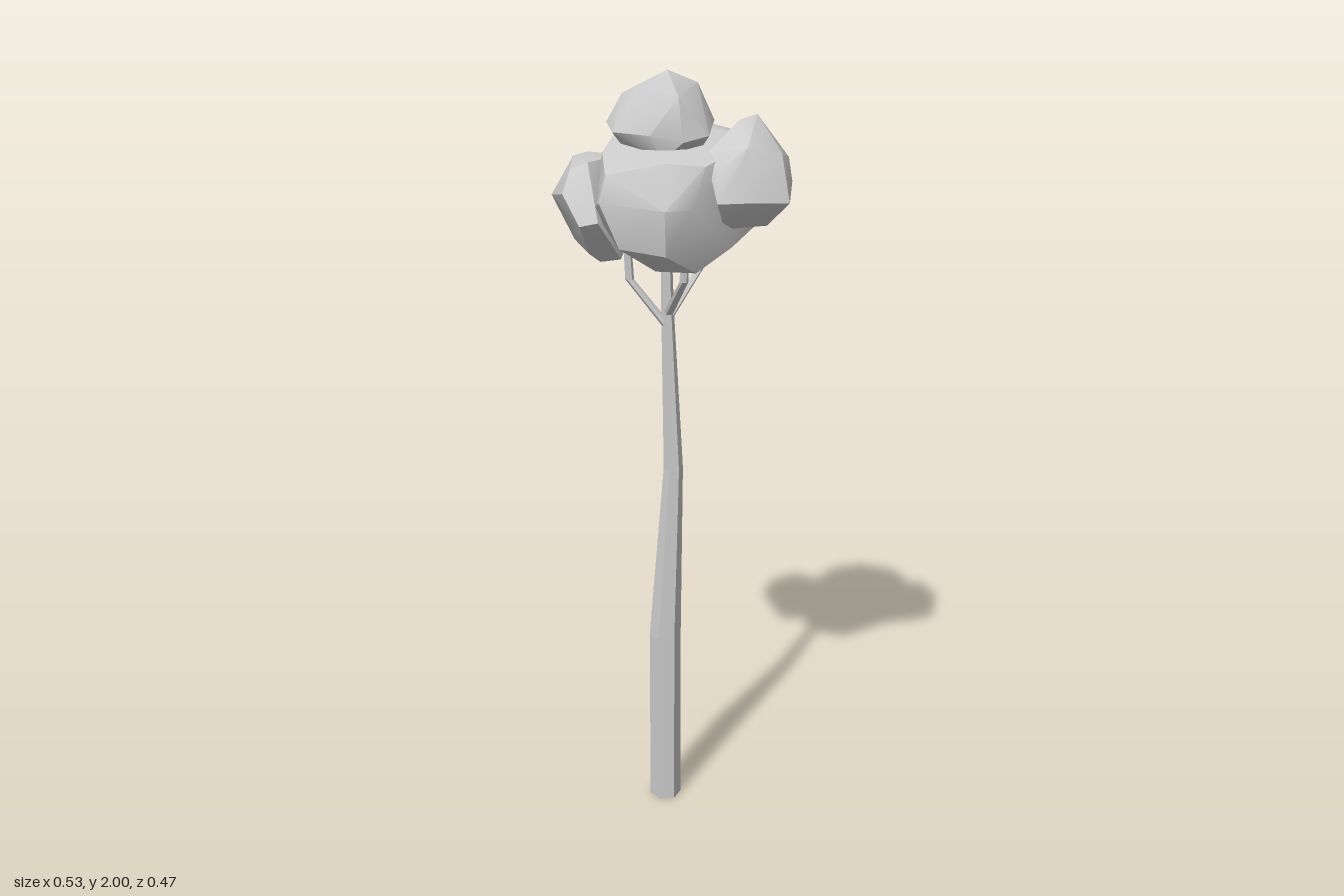
import * as THREE from 'three';
import { ConvexGeometry } from 'three/addons/geometries/ConvexGeometry.js';
import { toCreasedNormals } from 'three/addons/utils/BufferGeometryUtils.js';

const SIDES = 6;

// Six-sided limb through level rings given as [x, y, z, radius], closed at both ends
function limbGeometry(rings) {
  const position = [], index = [];
  for (const [x, y, z, r] of rings) {
    for (let k = 0; k < SIDES; k++) {
      const t = (k / SIDES) * Math.PI * 2 + 0.25;
      position.push(x + r * Math.cos(t), y, z + r * Math.sin(t));
    }
  }
  for (let i = 0; i < rings.length - 1; i++) {
    for (let k = 0; k < SIDES; k++) {
      const a = i * SIDES + k, b = i * SIDES + ((k + 1) % SIDES);
      index.push(a, a + SIDES, b, b, a + SIDES, b + SIDES);
    }
  }
  const top = (rings.length - 1) * SIDES;
  for (let k = 1; k < SIDES - 1; k++) {
    index.push(0, k, k + 1, top, top + k + 1, top + k);
  }
  const geometry = new THREE.BufferGeometry();
  geometry.setAttribute('position', new THREE.Float32BufferAttribute(position, 3));
  geometry.setIndex(index);
  const flat = geometry.toNonIndexed();
  flat.computeVertexNormals();
  return flat;
}

// Faceted clump of leaves: hull of a few corners, soft across shallow edges
function clumpGeometry(corners) {
  const hull = new ConvexGeometry(corners.map((c) => new THREE.Vector3(...c)));
  return toCreasedNormals(hull, 0.6);
}

export function createModel() {
  const tree = new THREE.Group();
  tree.name = 'tree';
  const bark = new THREE.MeshStandardMaterial({ color: 0xcccccc, flatShading: true });
  const leaf = new THREE.MeshStandardMaterial({ color: 0xcccccc });

  const add = (name, geometry, material) => {
    const mesh = new THREE.Mesh(geometry, material);
    mesh.name = name;
    tree.add(mesh);
  };

  // Tall trunk, bending slightly and tapering into the crown
  add('trunk', limbGeometry([
    [0.005, 0, -0.054, 0.042], [0.005, 0.5, -0.054, 0.042],
    [0.025, 0.98, -0.046, 0.025], [0.012, 1.4, -0.053, 0.016], [0.008, 1.62, -0.055, 0.013],
  ]), bark);

  // Forked branches, each leaning out and then turning upward
  const branches = {
    leftBranch: [[0.012, 1.38, -0.053, 0.013], [0.11, 1.5, -0.08, 0.011], [0.122, 1.66, -0.085, 0.009]],
    rightBranch: [[0.012, 1.36, -0.053, 0.013], [-0.075, 1.48, -0.09, 0.011], [-0.083, 1.64, -0.092, 0.009]],
    frontBranch: [[0.012, 1.39, -0.053, 0.013], [0.015, 1.5, 0.055, 0.011], [0.015, 1.62, 0.067, 0.009]],
  };
  for (const [name, rings] of Object.entries(branches)) add(name, limbGeometry(rings), bark);

  // Leaf clumps, listed from the bottom corners to the top ones
  const clumps = {
    mainFoliage: [
      [-0.08, 1.55, 0.12], [0.01, 1.545, 0.15], [0.07, 1.56, 0.06], [0.03, 1.56, -0.08], [-0.08, 1.56, -0.03],
      [0.2, 1.64, 0.08], [0.19, 1.64, -0.11], [0.09, 1.62, -0.19], [0.01, 1.62, -0.18],
      [-0.17, 1.61, 0.12], [-0.08, 1.6, 0.19], [0.1, 1.6, 0.15],
      [-0.215, 1.72, 0.11], [-0.09, 1.71, 0.21], [-0.02, 1.71, 0.208], [0.24, 1.73, 0.07],
      [0.24, 1.72, -0.11], [0.11, 1.7, -0.215], [0.015, 1.71, -0.225], [-0.19, 1.68, -0.01],
      [0.015, 1.79, -0.198], [0.12, 1.79, -0.195], [0.18, 1.84, -0.075], [-0.11, 1.84, -0.09],
      [-0.16, 1.81, -0.03], [-0.195, 1.78, 0.1], [-0.07, 1.81, 0.16], [0.02, 1.8, 0.18],
      [0.18, 1.84, 0.1], [0.05, 1.87, 0.04], [0.08, 1.87, -0.06],
    ],
    sideFoliage: [
      [-0.15, 1.53, -0.09], [-0.12, 1.55, -0.02], [-0.2, 1.57, -0.02], [-0.2, 1.58, -0.14],
      [-0.1, 1.58, -0.15], [-0.03, 1.64, -0.13], [-0.24, 1.65, 0.035], [-0.2, 1.66, 0.055],
      [-0.265, 1.72, -0.015], [-0.25, 1.69, -0.16], [-0.2, 1.69, -0.222], [-0.17, 1.7, -0.237],
      [-0.14, 1.7, -0.23], [-0.03, 1.7, -0.185], [-0.235, 1.77, -0.05], [-0.2, 1.79, -0.02],
      [-0.14, 1.78, -0.21], [-0.19, 1.78, -0.17], [-0.09, 1.79, -0.08],
    ],
    frontFoliage: [
      [0.1, 1.645, 0.15], [0.18, 1.65, 0.17], [0.2, 1.66, 0.09], [0.06, 1.67, 0.19],
      [0.035, 1.72, 0.218], [0.125, 1.72, 0.235], [0.215, 1.71, 0.22], [0.265, 1.74, 0.12],
      [0.24, 1.73, 0.065], [0.2, 1.76, 0.04], [0.25, 1.8, 0.13], [0.21, 1.82, 0.18],
      [0.12, 1.84, 0.19], [0.05, 1.79, 0.19], [0.04, 1.82, 0.13], [0.18, 1.9, 0.1],
      [0.13, 1.89, 0.11], [0.2, 1.87, 0.05],
    ],
    topFoliage: [
      [-0.09, 1.8, -0.05], [0.06, 1.8, -0.04], [0.03, 1.8, 0.08], [-0.05, 1.8, 0.08],
      [-0.145, 1.86, 0], [-0.13, 1.87, -0.09], [-0.01, 1.88, -0.102], [0.09, 1.88, -0.045],
      [0.1, 1.88, 0.03], [0.05, 1.86, 0.125], [-0.02, 1.85, 0.14], [-0.08, 1.86, 0.08],
      [-0.1, 1.94, -0.06], [0.075, 1.95, -0.045], [0.055, 1.97, 0.035], [-0.02, 1.95, 0.11],
      [-0.08, 1.96, 0.01], [-0.015, 2, 0.02], [0, 1.98, -0.06],
    ],
  };
  for (const [name, corners] of Object.entries(clumps)) add(name, clumpGeometry(corners), leaf);

  return tree;
}
